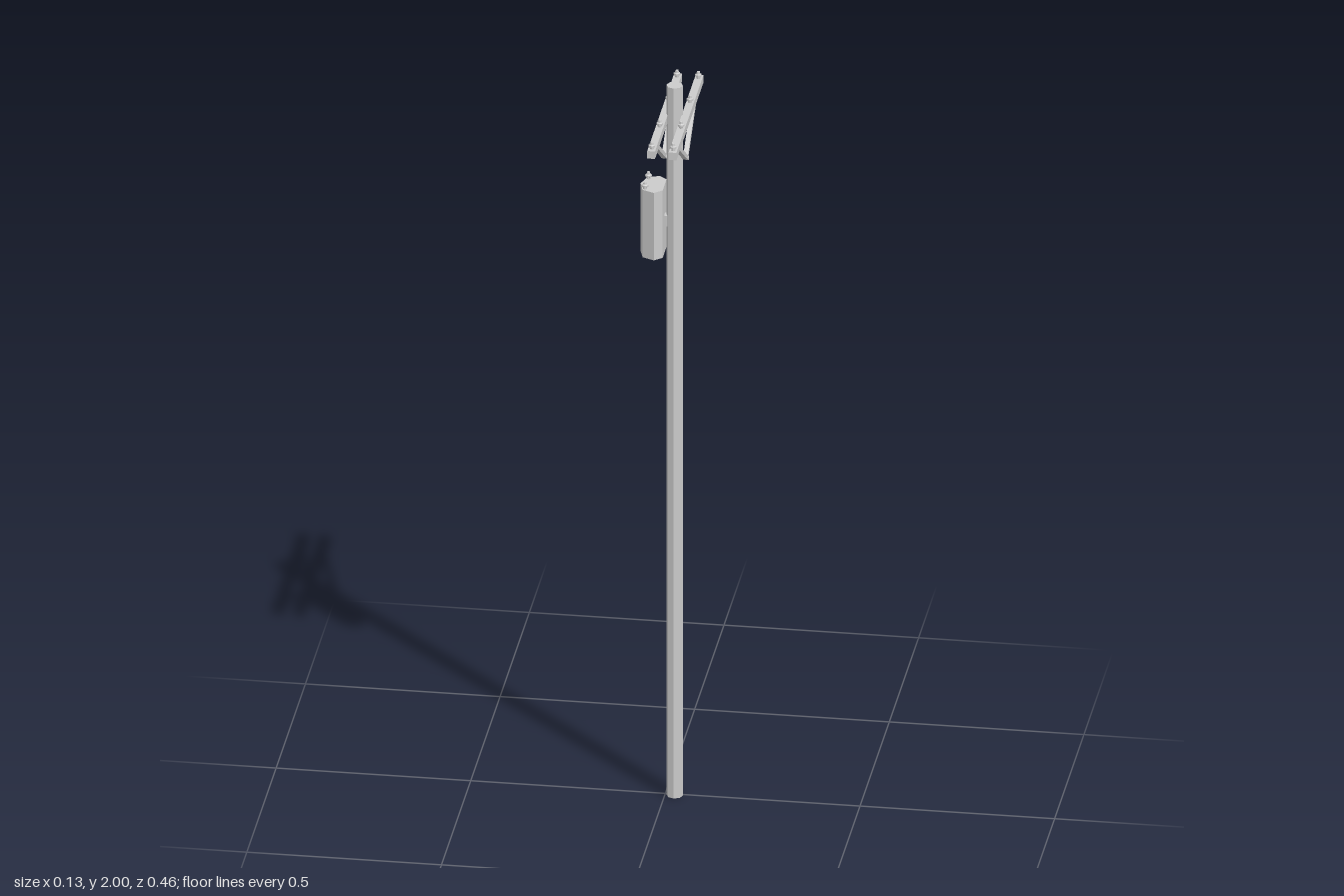
import * as THREE from 'three';

export function createModel() {
  const group = new THREE.Group();
  group.name = 'utilityPole';
  const material = new THREE.MeshStandardMaterial({ color: 0xcccccc, flatShading: true });
  const poleX = 0.025, midZ = 0.006;
  const armXs = [-0.002, 0.053];

  const add = (name, geometry, x, y, z) => {
    const mesh = new THREE.Mesh(geometry, material);
    mesh.name = name;
    mesh.position.set(x, y, z);
    group.add(mesh);
    return mesh;
  };

  // Octagonal pole
  add('pole', new THREE.CylinderGeometry(0.021, 0.021, 2, 8), poleX, 1, midZ);

  // Stepped insulator, shared by the arms and the tank
  const insulator = new THREE.LatheGeometry([
    [0, 0], [0.005, 0], [0.005, 0.005], [0.0085, 0.007], [0.0085, 0.012],
    [0.005, 0.014], [0.004, 0.02], [0, 0.021],
  ].map(([r, y]) => new THREE.Vector2(r, y)), 8);

  // Two crossarms, each with insulators and a V of braces
  for (const x of armXs) {
    add('crossarm', new THREE.BoxGeometry(0.02, 0.021, 0.463), x, 1.9075, -0.001);
    for (const z of [-0.212, -0.069, 0.084, 0.216]) add('insulator', insulator, x, 1.917, z);
    for (const side of [-1, 1]) {
      const dz = side * 0.15, dy = 0.1;
      const brace = add('brace', new THREE.BoxGeometry(0.012, 0.011, Math.hypot(dz, dy)),
        x, 1.798 + dy / 2, midZ + dz / 2);
      brace.rotation.x = -Math.atan2(dy, dz);
    }
    // Bolt where the braces meet the pole
    const bolt = add('braceBolt', new THREE.CylinderGeometry(0.006, 0.006, 0.016, 8), x, 1.798, midZ);
    bolt.rotation.z = Math.PI / 2;
  }

  // Transformer tank: faceted outer side, narrow side against the pole
  const half = [[-0.052, 0.037], [-0.021, 0.051], [-0.001, 0.033]];
  const outline = [[-0.063, 0], ...half, ...half.map(([x, z]) => [x, -z]).reverse()];
  const tank = new THREE.ExtrudeGeometry(
    new THREE.Shape(outline.map(([x, z]) => new THREE.Vector2(x, z))),
    { depth: 0.19, bevelEnabled: false });
  tank.rotateX(-Math.PI / 2);
  add('transformerTank', tank, 0, 1.527, midZ);
  for (const z of [-0.025, 0.035]) add('tankBushing', insulator, -0.047, 1.716, z);

  // Bracket joining tank to pole
  add('tankBracket', new THREE.BoxGeometry(0.016, 0.03, 0.02), 0.003, 1.62, midZ);

  return group;
}
